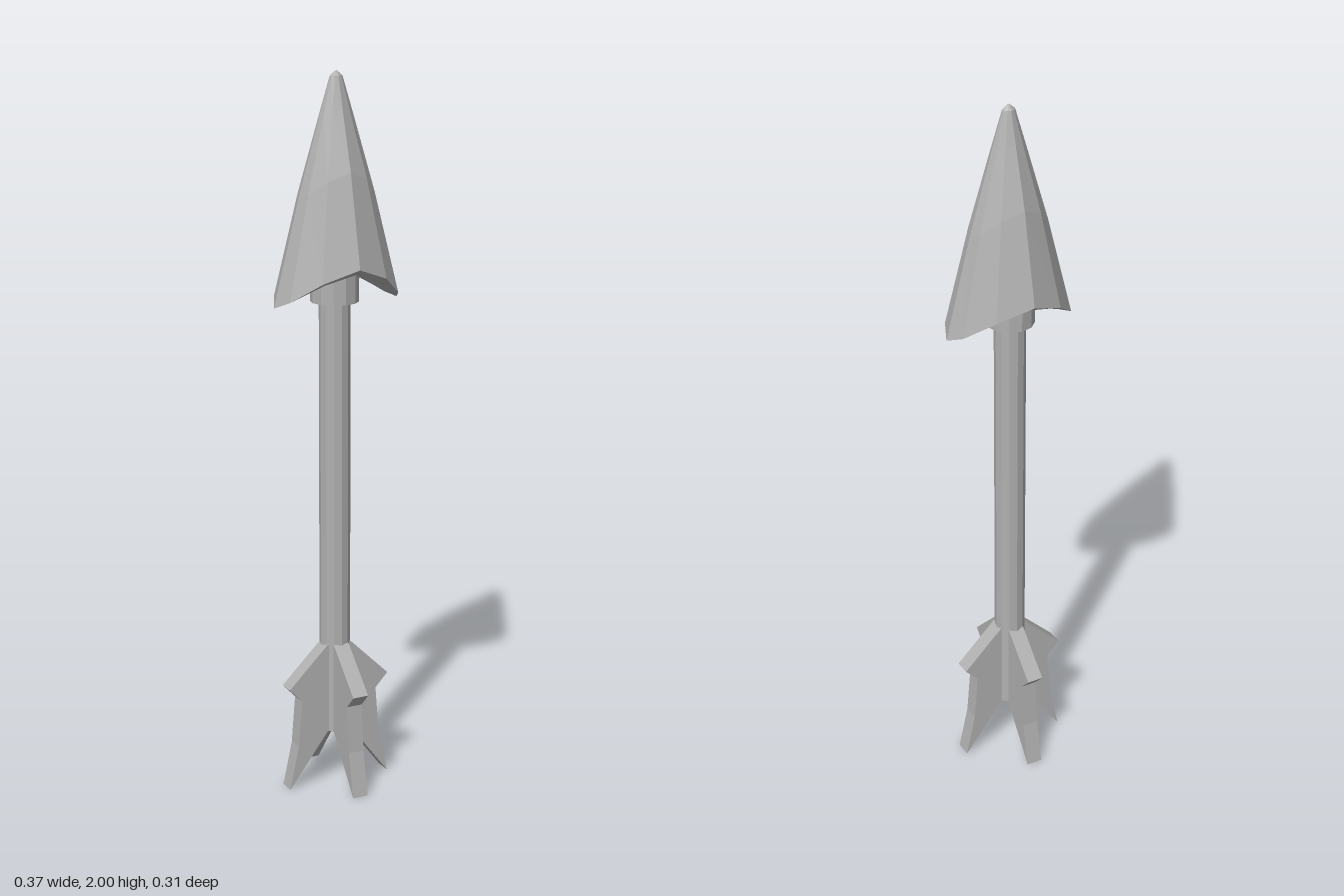
import * as THREE from 'three';

const steel = new THREE.MeshStandardMaterial({ color: 0xb0b0b0, flatShading: true });
steel.name = 'grey';

// Half outline of the head, seen from above: [x, front z, back z]
const OUTLINE = [[0.185, 0, 0], [0.162, 0.052, -0.05], [0.095, 0.109, -0.108], [0, 0.139, -0.138]];
const AXIS = -0.007;

function add(parent, geometry, name, x = 0, y = 0, z = 0) {
  const mesh = new THREE.Mesh(geometry, steel);
  mesh.name = name;
  mesh.position.set(x, y, z);
  parent.add(mesh);
  return mesh;
}

// How far the lower edge sweeps down towards the two side barbs
const sweep = (x) => 0.11 * Math.pow(Math.abs(x) / 0.185, 1.7);

// Twelve-sided head: stacked rings from the tip, over the rim and in underneath
function headGeometry() {
  const loop = [];
  for (let i = 0; i < 12; i++) {
    const k = i % 6;
    const o = OUTLINE[k <= 3 ? k : 6 - k];
    const mirrored = i > 3 && i < 9 ? -1 : 1;
    loop.push([o[0] * mirrored, i < 6 ? o[1] : o[2]]);
  }
  // [scale, height, share of the sweep taken from the outer edge]
  const outside = [[0, 2, 0], [0.1, 1.985, 0], [0.27, 1.9, 0.18], [0.61, 1.74, 0.7], [1, 1.49, 1]];
  const underside = [[0.8, 1.472], [0.4, 1.472], [0, 1.472]];
  const rings = [
    ...outside.map(([s, y, d]) => loop.map(([x, z]) => [x * s, y - d * sweep(x), z * s])),
    ...underside.map(([s, y]) => loop.map(([x, z]) => [x * s, y - sweep(x * s), z * s])),
  ];
  const positions = [];
  for (let j = 0; j < rings.length - 1; j++) {
    for (let i = 0; i < 12; i++) {
      const n = (i + 1) % 12;
      const a = rings[j][i], b = rings[j][n], c = rings[j + 1][i], d = rings[j + 1][n];
      if (j > 0) positions.push(...a, ...b, ...c);
      if (j < rings.length - 2) positions.push(...b, ...d, ...c);
    }
  }
  const geometry = new THREE.BufferGeometry();
  geometry.setAttribute('position', new THREE.Float32BufferAttribute(positions, 3));
  geometry.computeVertexNormals();
  return geometry;
}

// Thick swallow-tailed fin, pointing along +x
function finGeometry() {
  const shape = new THREE.Shape([
    [0, 0.415], [0.036, 0.415], [0.154, 0.3], [0.116, 0.26], [0.127, 0.125],
    [0.154, 0], [0.036, 0.155], [0, 0.155],
  ].map(([x, y]) => new THREE.Vector2(x, y)));
  return new THREE.ExtrudeGeometry(shape, { depth: 0.046, bevelEnabled: false }).translate(0, 0, -0.023);
}

export function createModel() {
  const model = new THREE.Group();
  model.name = 'arrow';

  add(model, headGeometry(), 'arrowhead', 0, 0, -0.012);
  add(model, new THREE.CylinderGeometry(0.066, 0.066, 0.16, 12), 'collar', AXIS, 1.465, AXIS);
  add(model, new THREE.CylinderGeometry(0.043, 0.043, 1.28, 12), 'shaft', AXIS, 0.795, AXIS);

  // Four fins around the tail
  const fins = new THREE.Group();
  fins.name = 'fletching';
  fins.position.set(AXIS, 0, -0.003);
  const fin = finGeometry();
  for (let i = 0; i < 4; i++) add(fins, fin, 'fin').rotation.y = (i * Math.PI) / 2;
  model.add(fins);

  return model;
}
